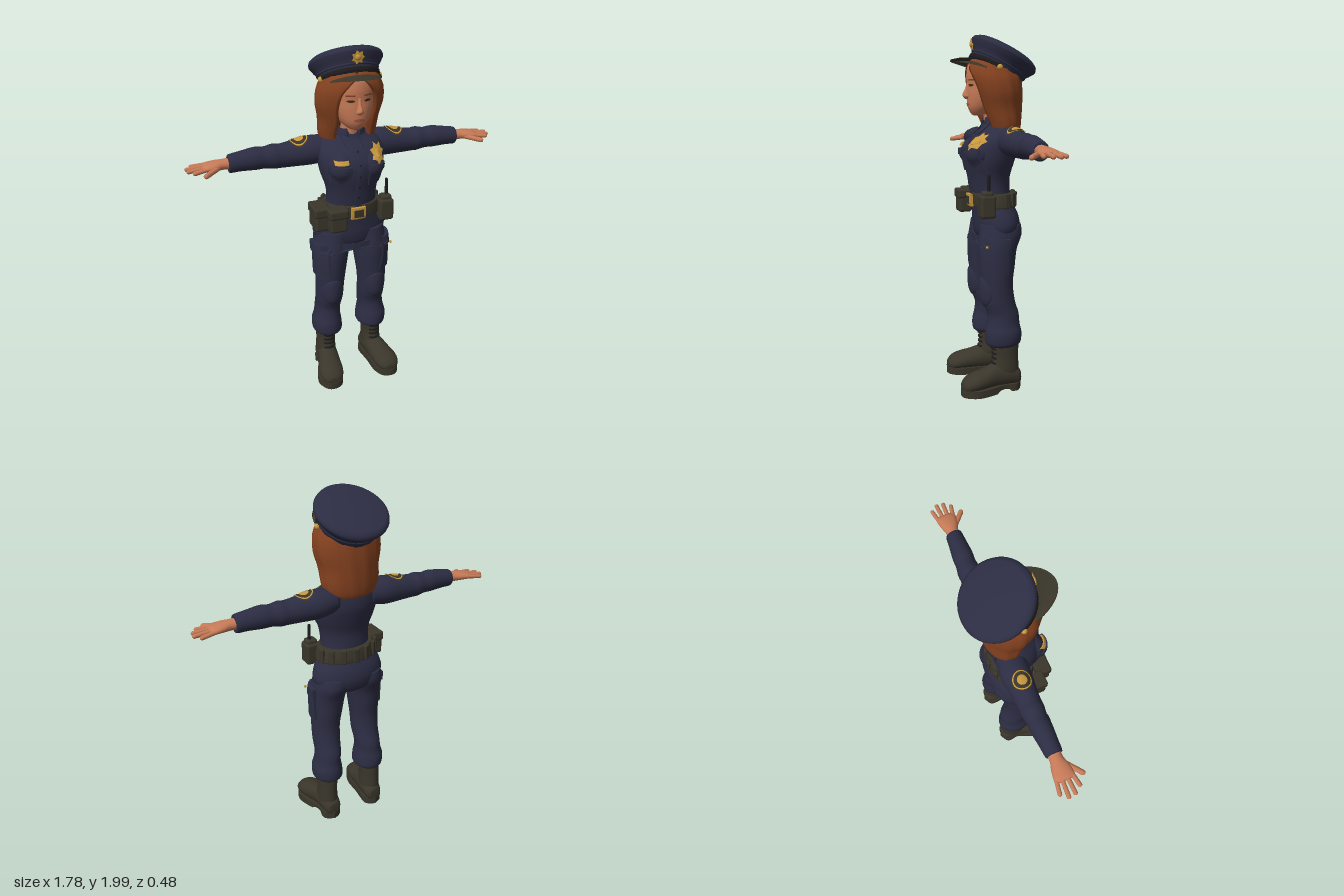
import * as THREE from 'three';
import { RoundedBoxGeometry } from 'three/addons/geometries/RoundedBoxGeometry.js';

const paint = (name, color) => {
  const m = new THREE.MeshStandardMaterial({ color });
  m.name = name;
  return m;
};

// Catmull-Rom resampling of rows of numbers
function smooth(rows, k) {
  const out = [], at = i => rows[Math.max(0, Math.min(rows.length - 1, i))];
  for (let i = 0; i < rows.length - 1; i++)
    for (let s = 0; s < k; s++) {
      const t = s / k, [a, b, c, d] = [at(i - 1), at(i), at(i + 1), at(i + 2)];
      out.push(b.map((_, j) => b[j] + 0.5 * t * (c[j] - a[j] + t * (2 * a[j] - 5 * b[j] + 4 * c[j] - d[j] + t * (3 * (b[j] - c[j]) + d[j] - a[j])))));
    }
  out.push(rows[rows.length - 1]);
  return out;
}

// Surface through closed rings of points
function skin(rings, flip = false, caps = true) {
  const n = rings[0].length, pos = rings.flat(2), idx = [];
  const tri = (a, b, c) => (flip ? idx.push(a, c, b) : idx.push(a, b, c));
  for (let i = 0; i < rings.length - 1; i++)
    for (let j = 0; j < n; j++) {
      const a = i * n + j, c = i * n + (j + 1) % n;
      tri(a, a + n, c);
      tri(c, a + n, c + n);
    }
  if (caps) [0, rings.length - 1].forEach((r, e) => {
    const mid = [0, 1, 2].map(k => rings[r].reduce((s, p) => s + p[k], 0) / n), m = pos.length / 3;
    pos.push(...mid);
    for (let j = 0; j < n; j++) {
      const a = r * n + j, b = r * n + (j + 1) % n;
      e ? tri(a, m, b) : tri(m, a, b);
    }
  });
  const g = new THREE.BufferGeometry();
  g.setAttribute('position', new THREE.Float32BufferAttribute(pos, 3));
  g.setIndex(idx);
  g.computeVertexNormals();
  return g;
}

// Elliptical loft along an axis; rows are [t, centre, radius, centre, radius]
function loft(axis, rows, n = 28, k = 4) {
  const rings = smooth(rows, k).map(([t, a, ra, b, rb]) => Array.from({ length: n }, (_, j) => {
    const q = j / n * Math.PI * 2, u = a + ra * Math.cos(q), v = b + rb * Math.sin(q);
    return axis === 'y' ? [u, t, v] : axis === 'x' ? [t, u, v] : [u, v, t];
  }));
  return skin(rings, axis !== 'y');
}

// Shell open at the front; rows are [y, rx, cz, rz, half opening, thickness]
function shell(rows, ripple, n = 56) {
  const rings = smooth(rows, 6).map(([y, rx, cz, rz, open, th]) => {
    const outer = [], inner = [];
    for (let j = 0; j <= n; j++) {
      const a = open + j / n * (2 * Math.PI - 2 * open);
      const w = 1 + ripple * (Math.sin(13 * a + 9 * y) + 0.6 * Math.sin(29 * a));
      const p = d => [(rx * w - d) * Math.sin(a), y, cz + (rz * w - d) * Math.cos(a)];
      outer.push(p(0));
      inner.unshift(p(th));
    }
    return [...outer, ...inner];
  });
  return skin(rings, true, false);
}

// Press a thin geometry onto the outer surface of meshes along an axis
function drape(geo, axis, targets) {
  const p = geo.attributes.position, v = new THREE.Vector3(), ray = new THREE.Raycaster();
  const dir = new THREE.Vector3();
  dir[axis] = -1;
  for (let i = 0; i < p.count; i++) {
    v.fromBufferAttribute(p, i);
    const lift = v[axis], from = v.clone();
    from[axis] = 3;
    ray.set(from, dir);
    const hit = ray.intersectObjects(targets)[0];
    if (hit) v[axis] = hit.point[axis] + lift;
    p.setXYZ(i, v.x, v.y, v.z);
  }
  geo.computeVertexNormals();
  return geo;
}

function mirrored(geo) {
  const g = geo.clone().scale(-1, 1, 1);
  const old = g.index ? Array.from(g.index.array) : Array.from({ length: g.attributes.position.count }, (_, i) => i);
  for (let i = 0; i < old.length; i += 3) [old[i], old[i + 1]] = [old[i + 1], old[i]];
  g.setIndex(old);
  return g;
}

function rod(a, b, r) {
  const p = new THREE.Vector3(...a), q = new THREE.Vector3(...b), d = q.clone().sub(p);
  const turn = new THREE.Quaternion().setFromUnitVectors(new THREE.Vector3(0, 1, 0), d.clone().normalize());
  return new THREE.CapsuleGeometry(r, d.length(), 4, 10).applyQuaternion(turn).translate(...p.add(q).multiplyScalar(0.5).toArray());
}

// Flat star face with seven points
function star(r) {
  const g = new THREE.RingGeometry(0.001, r, 14, 3), p = g.attributes.position;
  for (let i = 0; i < p.count; i++) if (i % 15 % 2) p.setXY(i, p.getX(i) * 0.68, p.getY(i) * 0.68);
  return g;
}

export function createModel() {
  const root = new THREE.Group();
  root.name = 'officer';
  const navy = paint('navy cloth', 0x2c2d43), skinTone = paint('skin', 0xc67a57), red = paint('auburn hair', 0x84411f);
  const leather = paint('dark leather', 0x3a362b), gold = paint('gold', 0xc8973c), black = paint('black', 0x1d1b1c);
  const lip = paint('lip', 0xa9573f), eyeDark = paint('eye brown', 0x3f2a1a);
  red.side = gold.side = THREE.DoubleSide;
  const add = (name, geo, mat) => {
    const m = new THREE.Mesh(geo, mat);
    m.name = name;
    root.add(m);
    return m;
  };
  const pair = (name, geo, mat) => {
    add(name + 'Right', mirrored(geo), mat);
    return add(name + 'Left', geo, mat);
  };
  const box = (w, h, d, x, y, z, s = 6) => new THREE.BoxGeometry(w, h, d, s, s, s).translate(x, y, z);
  const block = (w, h, d, x, y, z, r = 0.015) => new RoundedBoxGeometry(w, h, d, 3, r).translate(x, y, z);

  // Shirt and hips
  const torso = add('shirt', loft('y', [[1.06, 0, .155, .012, .105], [1.14, 0, .142, .022, .11], [1.22, 0, .148, .028, .116], [1.3, 0, .174, .025, .136],
    [1.37, 0, .187, .016, .146], [1.43, 0, .188, 0, .13], [1.48, 0, .165, -.022, .098], [1.51, 0, .11, -.02, .076], [1.54, 0, .06, -.01, .055]], 40), navy);
  const bust = pair('bust', new THREE.SphereGeometry(.075, 20, 14).scale(1, 1.05, .95).translate(.083, 1.355, .095), navy);
  const chest = [torso, bust];
  add('hips', loft('y', [[.85, 0, .1, -.015, .07], [.88, 0, .18, -.012, .11], [.94, 0, .214, -.013, .126], [1, 0, .205, -.008, .124], [1.05, 0, .178, .004, .115], [1.1, 0, .155, .012, .105]], 40), navy);
  add('placket', drape(box(.034, .35, .008, 0, 1.3, .003), 'z', chest), navy);
  pair('chestPocket', drape(box(.095, .1, .02, .1, 1.3, .004), 'z', chest), navy);
  pair('pocketFlap', drape(box(.105, .035, .03, .1, 1.355, .004), 'z', chest), navy);
  for (let i = 0; i < 5; i++) add('button', drape(new THREE.CircleGeometry(.006, 10).translate(0, 1.18 + i * .065, .01), 'z', chest), black);

  // Collar
  add('collar', shell([[1.485, .1, -.018, .085, .3, .012], [1.52, .088, -.012, .082, .35, .015], [1.55, .074, -.008, .072, .5, .01]], 0), navy);
  const point = new THREE.BoxGeometry(.055, .075, .02, 4, 4, 1), pp = point.attributes.position;
  for (let i = 0; i < pp.count; i++) pp.setXY(i, pp.getX(i) * (.55 + pp.getY(i) * 9) + .048, pp.getY(i) + 1.492);
  pair('collarPoint', drape(point, 'z', chest), navy);

  // Arms and hands
  const arm = pair('sleeve', loft('x', [[.1, 1.425, .068, -.04, .075], [.2, 1.42, .08, -.048, .08], [.3, 1.413, .073, -.047, .069], [.38, 1.408, .066, -.046, .062],
    [.42, 1.41, .068, -.046, .063], [.47, 1.41, .059, -.045, .056], [.52, 1.412, .062, -.043, .057], [.6, 1.408, .054, -.04, .05], [.655, 1.403, .05, -.038, .046], [.665, 1.403, .042, -.038, .04]]), navy);
  pair('palm', loft('x', [[.64, 1.404, .032, -.038, .036], [.69, 1.404, .028, -.038, .036], [.73, 1.403, .026, -.037, .048], [.78, 1.4, .02, -.038, .055], [.8, 1.398, .01, -.038, .048]], 20), skinTone);
  [[-.08, -.092, .85], [-.053, -.057, .877], [-.025, -.02, .872], [.002, .016, .845]].forEach(([z0, z1, tip]) =>
    pair('finger', rod([.775, 1.4, z0], [tip, 1.392, z1], .0115), skinTone));
  pair('thumb', rod([.715, 1.398, -.012], [.795, 1.385, .055], .014), skinTone);

  // Legs with knee pads and cargo pockets
  const leg = pair('trouserLeg', loft('y', [[.265, .142, .07, -.012, .085], [.285, .14, .088, -.015, .103], [.34, .143, .088, -.016, .104], [.39, .14, .077, -.016, .094], [.45, .135, .076, -.015, .09],
    [.52, .132, .08, .008, .092], [.62, .13, .084, .018, .09], [.72, .124, .092, .016, .1], [.82, .117, .1, .012, .11], [.9, .108, .104, -.008, .121], [.96, .1, .1, -.01, .115]]), navy);
  pair('kneePad', drape(new THREE.SphereGeometry(1, 20, 14).scale(.066, .085, .016).translate(.133, .58, 0), 'z', [leg]), navy);
  pair('cargoPocket', drape(box(.026, .17, .135, 0, .775, .045), 'x', [leg]), navy);
  pair('cargoFlap', drape(box(.044, .055, .15, 0, .862, .045), 'x', [leg]), navy);
  add('snap', new THREE.SphereGeometry(.008, 10, 8).translate(.217, .85, .1), gold);

  // Boots
  const shaft = pair('bootShaft', loft('y', [[.06, .147, .055, -.03, .075], [.13, .148, .058, -.024, .08], [.2, .148, .055, -.028, .074], [.3, .146, .06, -.024, .08]]), leather);
  pair('bootFoot', loft('z', [[-.115, .145, .03, .07, .035], [-.095, .145, .05, .075, .055], [-.04, .147, .06, .09, .068], [.03, .153, .062, .092, .072], [.1, .167, .069, .08, .06],
    [.16, .176, .073, .072, .053], [.21, .18, .06, .062, .042], [.236, .18, .03, .055, .02]]), leather);
  const outline = new THREE.Shape(new THREE.SplineCurve([[.145, -.12], [.2, -.085], [.203, -.01], [.24, .09], [.253, .16], [.225, .225], [.18, .242], [.13, .22], [.103, .15], [.1, .05], [.09, -.03], [.095, -.09], [.145, -.12]]
    .map(q => new THREE.Vector2(...q))).getPoints(48));
  const sole = new THREE.ExtrudeGeometry(outline, { depth: .042, bevelEnabled: false }).rotateX(Math.PI / 2).translate(0, .042, 0), sp = sole.attributes.position;
  for (let i = 0; i < sp.count; i++) if (sp.getY(i) < .01 && Math.abs(sp.getZ(i) + .01) < .035) sp.setY(i, .018);
  sole.computeVertexNormals();
  pair('sole', sole, leather);
  for (let i = 0; i < 4; i++) pair('lace', drape(box(.06, .009, .01, .148, .165 + i * .028, .002, 4), 'z', [shaft]), black);

  // Belt and gear
  const belt = add('belt', loft('y', [[1.052, 0, .178, .008, .122], [1.06, 0, .182, .008, .126], [1.12, 0, .168, .014, .124], [1.13, 0, .16, .014, .118]], 40, 2), leather);
  for (let i = 0; i < 7; i++) {
    const a = Math.PI + (i - 3) * .42;
    add('beltKeeper', block(.032, .085, .02, 0, 0, 0, .006).rotateY(a).translate(.178 * Math.sin(a), 1.092, .011 + .126 * Math.cos(a)), leather);
  }
  add('buckle', drape(box(.082, .07, .022, 0, 1.087, .006), 'z', [belt]), gold);
  add('buckleInset', drape(box(.054, .044, .006, 0, 1.087, .018), 'z', [belt]), leather);
  [[.085, .13, .13, -.2, 1.065, .065], [.1, .125, .075, -.125, 1.065, .145]].forEach(([w, h, d, x, y, z]) => {
    add('pouch', block(w, h, d, x, y, z), leather);
    add('pouchFlap', block(w + .01, h * .42, d + .012, x, y + h * .35, z, .012), leather);
  });
  add('radio', block(.085, .125, .085, .178, 1.07, .09), leather);
  add('radioTop', block(.065, .05, .06, .18, 1.13, .09), leather);
  add('antenna', rod([.19, 1.13, .085], [.19, 1.238, .082], .009), black);

  // Head and face
  add('neck', loft('y', [[1.47, 0, .062, -.01, .06], [1.55, 0, .05, .005, .052], [1.64, 0, .055, .01, .06]]), skinTone);
  const head = add('head', loft('y', [[1.558, 0, .02, .098, .018], [1.568, 0, .045, .083, .046], [1.6, 0, .078, .058, .088], [1.64, 0, .1, .045, .106], [1.68, 0, .113, .036, .116],
    [1.72, 0, .12, .03, .12], [1.78, 0, .125, .026, .127], [1.84, 0, .115, .02, .118], [1.87, 0, .07, .01, .07]], 36), skinTone);
  add('nose', loft('y', [[1.648, 0, .006, .15, .012], [1.66, 0, .02, .153, .022], [1.675, 0, .016, .153, .026], [1.7, 0, .011, .148, .018], [1.735, 0, .009, .142, .012]], 16), skinTone);
  const dot = (w, h, x, y, z) => new THREE.RingGeometry(.001, 1, 20, 3).scale(w, h, 1).translate(x, y, z);
  pair('eye', drape(dot(.02, .007, .046, 1.722, .003), 'z', [head]), eyeDark);
  pair('eyebrow', drape(box(.046, .007, .006, .048, 1.75, .001), 'z', [head]), red);
  add('mouth', drape(dot(.03, .009, 0, 1.618, .003), 'z', [head]), lip);

  // Shoulder-length hair, parted at the front
  add('hair', shell([[1.445, .13, -.05, .085, .75, .004], [1.47, .152, -.045, .098, .68, .02], [1.52, .165, -.038, .112, .66, .03], [1.6, .17, -.022, .133, .62, .04], [1.68, .186, -.008, .148, .6, .045],
    [1.75, .183, .003, .155, .52, .04], [1.8, .165, .008, .15, .33, .03], [1.84, .146, .005, .135, .06, .02], [1.865, .12, .01, .11, .03, .015]], .011), red);

  // Peaked cap tilted back
  const tilt = g => g.rotateX(-.5).translate(0, 1.908, -.07);
  const turned = (pts, ...arc) => tilt(new THREE.LatheGeometry(pts.map(q => new THREE.Vector2(...q)), 48, ...arc));
  const cap = add('cap', turned([[0, -.13], [.152, -.13], [.159, -.122], [.161, -.088], [.182, -.062], [.199, -.036], [.2, -.026], [.194, -.011], [.175, .001], [.08, .01], [0, .012]]), navy);
  add('capPiping', tilt(new THREE.TorusGeometry(.162, .006, 8, 48).rotateX(Math.PI / 2).translate(0, -.088, 0)), navy);
  add('capStrap', turned([[.16, -.127], [.167, -.124], [.167, -.106], [.16, -.103]], -1.45, 2.9), black);
  const bill = [];
  for (let i = 0; i <= 24; i++) {
    const u = i / 12 - 1, f = u * 1.35, c = Math.cos(f), s = Math.sin(f), y = 1.872 - .055 * u * u, o = 1 - u * u;
    const at = (r, h) => [(.15 + r * .3) * s, y + h, .002 + (.137 + r) * c];
    bill.push([at(-.02, 0), at(.05 * o, -.001), at(.095 * o + .006, -.012), at(.1 * o + .006, -.022), at(.09 * o, -.026), at(.04 * o, -.02), at(-.02, -.02)]);
  }
  add('bill', skin(bill, false), leather);
  pair('capButton', new THREE.SphereGeometry(.016, 14, 10).translate(.162, 1.815, .012), gold);

  // Badges and patches
  add('capBadge', drape(star(.038).translate(0, 1.94, .009), 'z', [cap]), gold);
  add('capBadgeCentre', drape(new THREE.SphereGeometry(.016, 14, 10).scale(1, 1, .5).translate(0, 1.94, .01), 'z', [cap]), gold);
  add('chestBadge', drape(star(.05).translate(.115, 1.42, .014), 'z', chest), gold);
  add('chestBadgeCentre', drape(new THREE.SphereGeometry(.018, 14, 10).scale(1, 1, .4).translate(.115, 1.42, .015), 'z', chest), gold);
  add('nameBar', mirrored(drape(box(.072, .02, .008, .1, 1.397, .012), 'z', chest)), gold);
  const patch = (name, r0, r1, lift, mat) =>
    pair(name, drape(new THREE.RingGeometry(r0, r1, 24, 4).rotateX(-Math.PI / 2).translate(.277, lift, -.042), 'y', [arm]), mat);
  patch('patchBack', .001, .053, .004, leather);
  patch('patchRing', .043, .049, .007, gold);
  patch('patchCentre', .001, .026, .007, gold);
  return root;
}
